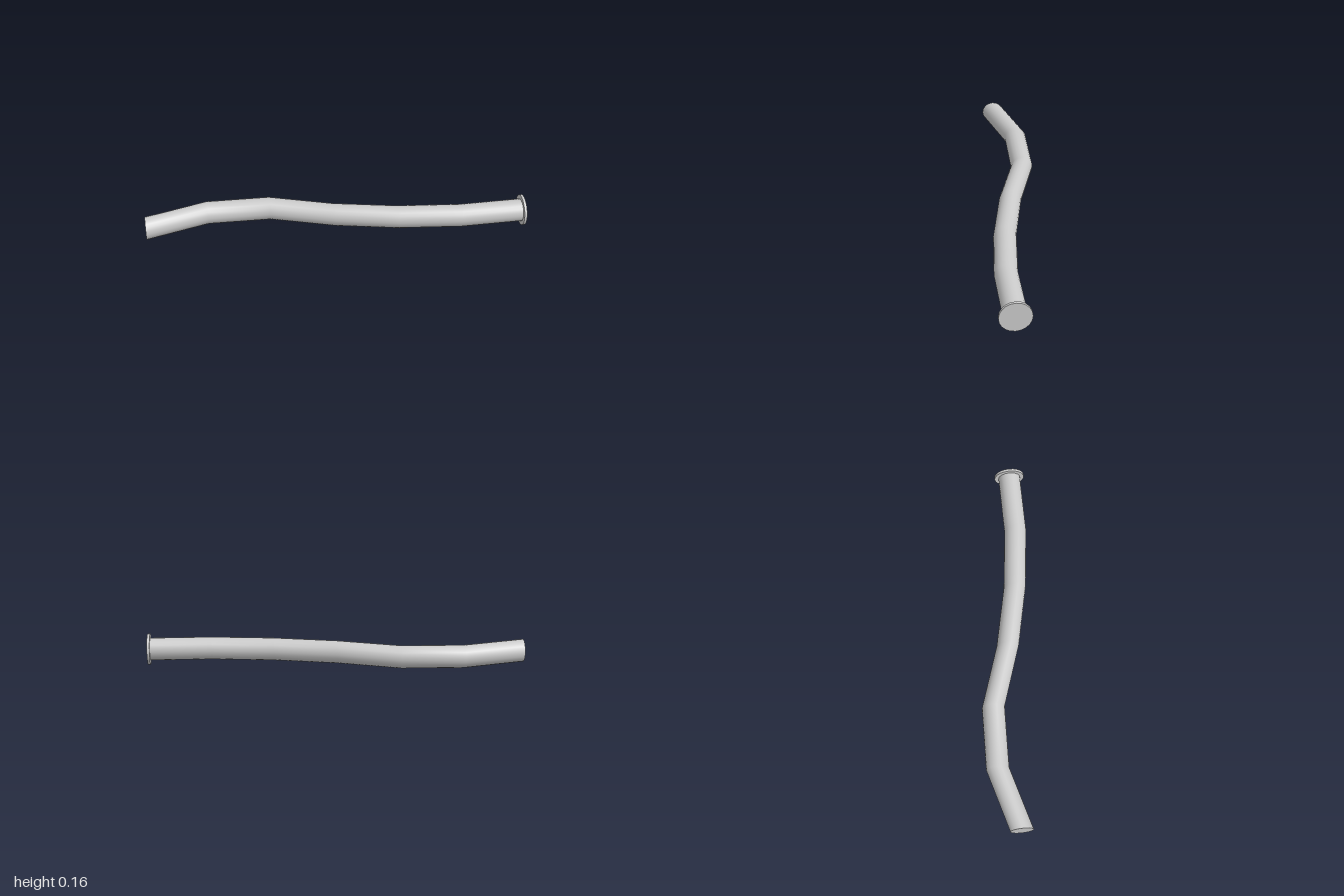
import * as THREE from 'three';
import { toCreasedNormals } from 'three/addons/utils/BufferGeometryUtils.js';

const SIDES = 20;
const AXIS_Y = 0.083;
// sideways offset of the pipe centre at evenly spaced stations from x = -1 to x = 1
const BENDS = [-0.046, -0.134, -0.121, -0.008, 0.067, 0.108, 0.111];

// capped cylinder lying along x
function rod(radius, length, segments) {
  return new THREE.CylinderGeometry(radius, radius, length, SIDES, segments).rotateZ(-Math.PI / 2);
}

export function createModel() {
  const group = new THREE.Group();
  group.name = 'bentPipe';
  const material = new THREE.MeshStandardMaterial({ color: 0xcccccc });

  // pipe: each upright ring slides in z to its bend offset
  const steps = BENDS.length - 1;
  const pipeGeometry = rod(0.06, 1.99, steps);
  const pos = pipeGeometry.attributes.position;
  for (let i = 0; i < pos.count; i++) {
    const station = Math.round((pos.getX(i) / 1.99 + 0.5) * steps);
    pos.setZ(i, pos.getZ(i) + BENDS[station]);
  }
  const pipe = new THREE.Mesh(toCreasedNormals(pipeGeometry, 0.6), material);
  pipe.name = 'pipe';
  pipe.position.set(-0.005, AXIS_Y, 0);

  // flange: thin disc closing the left end
  const flange = new THREE.Mesh(rod(0.082, 0.014, 1), material);
  flange.name = 'endFlange';
  flange.position.set(0.993, AXIS_Y, BENDS[steps]);

  group.add(pipe, flange);
  return group;
}
